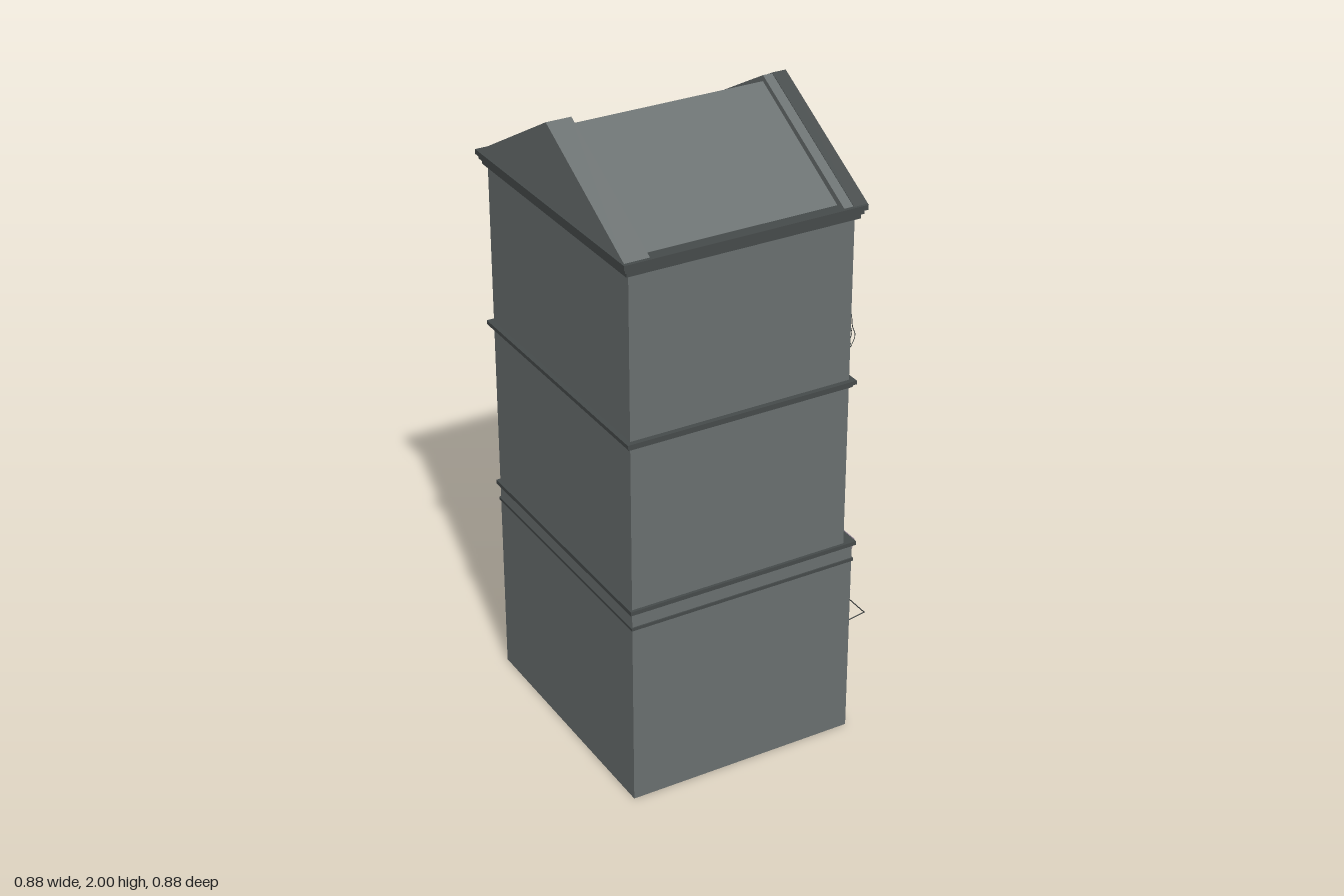
import * as THREE from 'three';

const mat = (color) => new THREE.MeshStandardMaterial({ color });
const WALL = mat(0x6a7070), TRIM = mat(0x464b4b), GLASS = mat(0xcccccc);
const CLOTH = mat(0xbfaebf), SIGN = mat(0x9d8c9b), IRON = mat(0x383c3c);

const GROUND_X = 0.325, UPPER_X = 0.295, BACK_X = -0.415, HALF_Z = 0.415;

function add(parent, name, geo, material) {
  const m = new THREE.Mesh(geo, material);
  m.name = name;
  parent.add(m);
  return m;
}

// Box given by its limits on each axis
function box(parent, name, material, x0, x1, y0, y1, z0, z1) {
  const m = add(parent, name, new THREE.BoxGeometry(x1 - x0, y1 - y0, z1 - z0), material);
  m.position.set((x0 + x1) / 2, (y0 + y1) / 2, (z0 + z1) / 2);
  return m;
}

const poly = (pts) => new THREE.Shape(pts.map(([x, y]) => new THREE.Vector2(x, y)));
const rect = (x0, x1, y0, y1) => poly([[x0, y0], [x1, y0], [x1, y1], [x0, y1]]);

function slab(shape, z0, z1) {
  const g = new THREE.ExtrudeGeometry(shape, { depth: z1 - z0, bevelEnabled: false, curveSegments: 10 });
  return g.translate(0, 0, z0);
}

// Opening outline with a flat or arched head
function opening(x, hw, y0, y1, rise) {
  const s = new THREE.Shape();
  s.moveTo(x - hw, y0);
  s.lineTo(x + hw, y0);
  s.lineTo(x + hw, y1 - rise);
  if (rise) s.quadraticCurveTo(x + hw * 0.6, y1, x, y1).quadraticCurveTo(x - hw * 0.6, y1, x - hw, y1 - rise);
  else s.lineTo(x - hw, y1);
  s.closePath();
  return s;
}

function ring(outer, inner) {
  outer.holes.push(inner);
  return outer;
}

function bar(parent, name, a, b, r, material = IRON) {
  const path = new THREE.LineCurve3(new THREE.Vector3(...a), new THREE.Vector3(...b));
  return add(parent, name, new THREE.TubeGeometry(path, 1, r, 5), material);
}

// Sash window: glass, surround, sashes, glazing bars, keystone and sill
function sashWindow(parent, x, y0, y1, rise) {
  const g = new THREE.Group();
  g.name = 'sashWindow';
  parent.add(g);
  const d = UPPER_X, mid = (y0 + y1) / 2 - 0.01;
  add(g, 'windowGlass', slab(opening(x, 0.06, y0, y1, rise), d - 0.018, d - 0.014), GLASS);
  add(g, 'windowSurround', slab(ring(opening(x, 0.073, y0 - 0.005, y1 + 0.016, rise), opening(x, 0.06, y0, y1, rise)), d - 0.015, d + 0.01), TRIM);
  add(g, 'sashFrame', slab(ring(opening(x, 0.061, y0, y1, rise), opening(x, 0.051, y0 + 0.012, y1 - 0.01, rise)), d - 0.015, d), TRIM);
  box(g, 'meetingRail', TRIM, x - 0.055, x + 0.055, mid - 0.006, mid + 0.006, d - 0.015, d);
  for (const s of [-1, 1]) box(g, 'glazingBar', TRIM, x + s * 0.019 - 0.001, x + s * 0.019 + 0.001, y0, y1 - 0.004, d - 0.015, d - 0.01);
  for (let i = 1; i < 6; i++) {
    const y = y0 + (y1 - y0) * i / 6;
    if (i !== 3) box(g, 'glazingBar', TRIM, x - 0.055, x + 0.055, y - 0.001, y + 0.001, d - 0.015, d - 0.01);
  }
  add(g, 'keystone', slab(poly([[x - 0.009, y1], [x + 0.009, y1], [x + 0.014, y1 + 0.034], [x - 0.014, y1 + 0.034]]), d, d + 0.014), TRIM);
  box(g, 'windowSill', TRIM, x - 0.08, x + 0.08, y0 - 0.016, y0 - 0.002, d - 0.01, d + 0.016);
}

// Small iron balcony with bellied balusters
function balcony(parent, x, y) {
  const g = new THREE.Group();
  g.name = 'balcony';
  parent.add(g);
  const hw = 0.093, d0 = UPPER_X, d1 = 0.342, top = y + 0.105;
  box(g, 'balconyFloor', IRON, x - hw, x + hw, y, y + 0.004, d0, d1);
  for (const h of [y + 0.012, top]) {
    bar(g, 'rail', [x - hw, h, d1], [x + hw, h, d1], 0.002);
    for (const s of [-1, 1]) bar(g, 'sideRail', [x + s * hw, h, d0], [x + s * hw, h, d1], 0.002);
  }
  for (let i = 0; i <= 11; i++) {
    const bx = x - hw + 2 * hw * i / 11;
    const path = new THREE.CatmullRomCurve3([[top, d1], [y + 0.07, d1 + 0.003], [y + 0.035, d1 + 0.014], [y + 0.002, d1]]
      .map(([h, d]) => new THREE.Vector3(bx, h, d)));
    add(g, 'baluster', new THREE.TubeGeometry(path, 8, 0.0013, 4), IRON);
  }
  for (const s of [-1, 1]) for (const d of [0.31, 0.326]) bar(g, 'sideBaluster', [x + s * hw, y, d], [x + s * hw, top, d], 0.0013);
}

// Cloth awning: a slightly bowed sheet, a straight or scalloped valance, and two stays
function awning(parent, x0, x1, yTop, d0, yEdge, d1, drop, scallops, stayDrop) {
  const g = new THREE.Group();
  g.name = 'awning';
  parent.add(g);
  const n = 8, geo = new THREE.PlaneGeometry(x1 - x0, 1, 1, n), p = geo.attributes.position;
  for (let i = 0; i < p.count; i++) {
    const t = 0.5 - p.getY(i), bow = 0.012 * Math.sin(Math.PI * t);
    p.setXYZ(i, p.getX(i) + (x0 + x1) / 2, THREE.MathUtils.lerp(yTop, yEdge, t) + bow, THREE.MathUtils.lerp(d0, d1, t) + bow);
  }
  geo.computeVertexNormals();
  add(g, 'awningCloth', geo, CLOTH);
  const s = new THREE.Shape(), w = (x1 - x0) / Math.max(scallops, 1), neck = yEdge - drop * (scallops ? 0.45 : 1);
  s.moveTo(x1, yEdge);
  s.lineTo(x0, yEdge);
  s.lineTo(x0, neck);
  for (let i = 0; i < scallops; i++) {
    const a = x0 + i * w;
    s.bezierCurveTo(a + w * 0.1, yEdge - drop * 1.15, a + w * 0.9, yEdge - drop * 1.15, a + w, neck);
  }
  if (!scallops) s.lineTo(x1, neck);
  s.closePath();
  add(g, 'valance', new THREE.ShapeGeometry(s, 8).translate(0, 0, d1), CLOTH);
  for (const x of [x0 + 0.003, x1 - 0.003]) bar(g, 'awningStay', [x, yEdge - stayDrop, d0 - 0.01], [x, yEdge, d1], 0.0018);
  bar(g, 'awningFrontRod', [x0, yEdge, d1 - 0.002], [x1, yEdge, d1 - 0.002], 0.0018);
}

// Moulding that runs round the whole building
function band(parent, name, y0, y1, out, frontX) {
  const e = HALF_Z + out;
  const geo = slab(ring(rect(BACK_X - out, frontX + out, -e, e), rect(-0.4, 0.28, -0.4, 0.4)), y0, y1);
  add(parent, name, geo.rotateX(-Math.PI / 2), TRIM);
}

function shopfront(f) {
  const back = 0.285, d = 0.312;
  for (const s of [-1, 1]) {
    const span = (a, b) => (s > 0 ? [a, b] : [-b, -a]);
    const [a, b] = span(0.11, 0.33);
    box(f, 'displayCase', GLASS, a, b, 0.1, 0.585, 0.16, 0.294);
    add(f, 'shopWindowFrame', slab(ring(rect(...span(0.095, 0.345), 0.095, 0.6), rect(...span(0.115, 0.325), 0.11, 0.58)), back, d), TRIM);
    box(f, 'stallRiser', WALL, ...span(0.095, 0.345), 0, 0.1, back, 0.306);
    add(f, 'stallRiserPanel', slab(ring(rect(...span(0.1, 0.335), 0.008, 0.092), rect(...span(0.11, 0.325), 0.018, 0.082)), 0.3, 0.314), TRIM);
    box(f, 'windowLedge', TRIM, ...span(0.097, 0.343), 0.096, 0.108, 0.29, 0.322);
    box(f, 'shopPilaster', TRIM, ...span(0.333, 0.35), 0, 0.6, 0.3, 0.33);
    // Door leaf
    add(f, 'doorLeaf', slab(ring(rect(...span(0.003, 0.092), 0.005, 0.362), rect(...span(0.018, 0.076), 0.105, 0.348)), back, 0.302), TRIM);
    box(f, 'doorGlass', GLASS, ...span(0.012, 0.08), 0.1, 0.352, 0.288, 0.292);
    add(f, 'doorPanel', slab(ring(rect(...span(0.016, 0.078), 0.02, 0.09), rect(...span(0.024, 0.07), 0.028, 0.082)), 0.3, 0.308), IRON);
    bar(f, 'doorHandle', [s * 0.009, 0.13, 0.332], [s * 0.009, 0.215, 0.332], 0.003);
    for (const y of [0.135, 0.21]) bar(f, 'handleBracket', [s * 0.009, y, 0.3], [s * 0.009, y, 0.332], 0.002);
  }
  box(f, 'doorTransom', TRIM, -0.096, 0.096, 0.36, 0.378, back, d);
  box(f, 'fanlight', GLASS, -0.096, 0.096, 0.378, 0.58, 0.286, 0.29);
  box(f, 'lintel', TRIM, -0.345, 0.345, 0.575, 0.6, back, d);
  box(f, 'doorSill', TRIM, -0.096, 0.096, 0, 0.007, back, 0.322);
  // Wedge-shaped sign board with a raised border on its sloping face
  const wedge = slab(poly([[0.3, 0.465], [0.35, 0.465], [0.39, 0.605], [0.3, 0.605]]), -0.335, 0.335);
  add(f, 'signBoard', wedge.rotateY(-Math.PI / 2), SIGN);
  const rounded = (hw, hh, c) => poly([[-hw + c, -hh], [hw - c, -hh], [hw, -hh + c], [hw, hh - c], [hw - c, hh], [-hw + c, hh], [-hw, hh - c], [-hw, -hh + c]]);
  const border = add(f, 'signBorder', slab(ring(rounded(0.329, 0.066, 0.014), rounded(0.325, 0.062, 0.012)), -0.002, 0.003), SIGN);
  border.position.set(0, 0.535, 0.37);
  border.rotation.x = Math.atan2(0.04, 0.14);
  // Shop awnings
  awning(f, -0.34, -0.1, 0.465, 0.335, 0.33, 0.435, 0.04, 7, 0.018);
  awning(f, 0.09, 0.335, 0.465, 0.335, 0.33, 0.435, 0.04, 7, 0.018);
  awning(f, -0.094, 0.086, 0.465, 0.337, 0.395, 0.41, 0.04, 5, 0.012);
}

export function createModel() {
  const root = new THREE.Group();
  root.name = 'shopBuilding';
  // Side and back walls, open underneath
  for (const s of [-1, 1]) box(root, 'sideWall', WALL, BACK_X, 0.28, 0, 1.75, s > 0 ? 0.395 : -HALF_Z, s > 0 ? HALF_Z : -0.395);
  box(root, 'backWall', WALL, BACK_X, -0.395, 0, 1.75, -0.4, 0.4);

  // Street face, drawn facing +z and turned to face +x
  const f = new THREE.Group();
  f.name = 'streetFace';
  f.rotation.y = Math.PI / 2;
  root.add(f);
  const H = HALF_Z;
  add(f, 'groundFloorWall', slab(poly([[-H, 0], [-0.345, 0], [-0.345, 0.6], [0.345, 0.6], [0.345, 0], [H, 0], [H, 0.66], [-H, 0.66]]), 0.275, GROUND_X), WALL);
  const wall = rect(-H, H, 0.65, 1.75);
  for (const [y0, y1, floor] of [[0.76, 1.12, 2], [1.3, 1.67, 3]]) {
    for (const x of [-0.25, 0, 0.25]) {
      const arched = floor === 3 && x === 0, rise = arched ? 0.035 : 0, top = arched ? y1 + 0.012 : y1;
      wall.holes.push(opening(x, 0.06, y0, top, rise));
      sashWindow(f, x, y0, top, rise);
    }
  }
  add(f, 'upperWall', slab(wall, 0.275, UPPER_X), WALL);
  shopfront(f);
  awning(f, -0.08, 0.08, 1.175, 0.3, 1.03, 0.422, 0.02, 0, 0);
  awning(f, 0.167, 0.33, 1.175, 0.3, 1.03, 0.422, 0.02, 0, 0);
  balcony(f, -0.255, 1.27);
  balcony(f, 0, 0.73);

  // String courses and cornice
  band(root, 'lowerStringCourse', 0.594, 0.604, 0.004, GROUND_X);
  band(root, 'shopCornice', 0.65, 0.663, 0.009, GROUND_X);
  band(root, 'middleStringCourse', 1.188, 1.198, 0.008, UPPER_X);
  band(root, 'middleStringCap', 1.198, 1.21, 0.016, UPPER_X);
  band(root, 'corniceBase', 1.715, 1.73, 0.012, UPPER_X);
  band(root, 'corniceMiddle', 1.73, 1.743, 0.019, UPPER_X);
  band(root, 'corniceTop', 1.743, 1.758, 0.026, UPPER_X);

  // Roof between raised gable parapets
  const gable = (w, top) => poly([[-w, 1.755], [w, 1.755], [0, top]]);
  add(f, 'roof', slab(gable(0.395, 1.98), -0.37, 0.26), WALL);
  add(f, 'backParapet', slab(gable(0.435, 2), -0.435, -0.357), WALL);
  add(f, 'frontGable', slab(gable(0.435, 1.998), 0.25, UPPER_X), WALL);
  const rake = (drop, w, top) => poly([[-w, 1.755], [0, top], [w, 1.755], [w - drop * 1.8, 1.755], [0, top - drop], [-w + drop * 1.8, 1.755]]);
  add(f, 'outerRake', slab(rake(0.015, 0.438, 2), 0.28, 0.325), TRIM);
  add(f, 'innerRake', slab(rake(0.028, 0.43, 1.99), 0.28, 0.312), TRIM);
  for (const s of [-1, 1]) {
    for (let i = 0; i < 9; i++) {
      const x = 0.025 + i * 0.039, y = 1.957 - x * 0.553;
      const m = box(f, 'dentil', TRIM, s * x - 0.008, s * x + 0.008, y - 0.01, y + 0.01, UPPER_X - 0.005, 0.31);
      m.rotation.z = -s * 0.505;
    }
  }
  return root;
}
